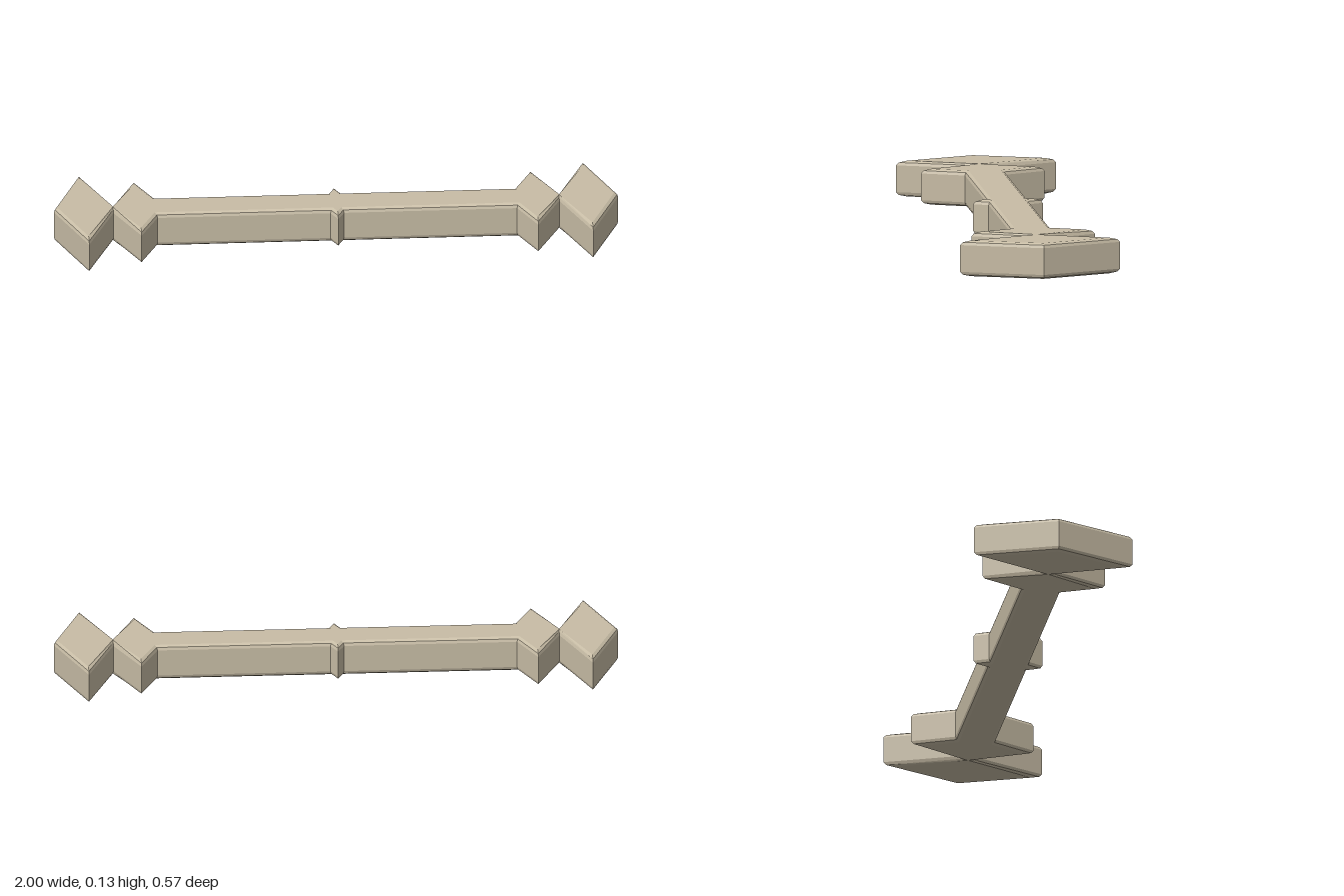
import * as THREE from 'three';

// One quarter of the plan outline (x, z): end point, large barb, neck, small barb, shaft, centre spur
const QUARTER = [
  [1, 0], [0.893, 0.285], [0.79, 0.02], [0.703, 0.22],
  [0.637, 0.072], [0.024, 0.072], [0, 0.124],
];

// Bevelled section: [inset, height]
const LEVELS = [
  [0.014, 0], [0.0035, 0.006], [0, 0.016],
  [0, 0.112], [0.0035, 0.122], [0.014, 0.128],
];

// Mirror the quarter into the full closed outline
function fullOutline() {
  const half = [
    ...QUARTER,
    ...QUARTER.slice(0, -1).reverse().map(([x, z]) => [-x, z]),
  ];
  const other = half.slice(1, -1).reverse().map(([x, z]) => [x, -z]);
  return [...half, ...other].map(([x, z]) => new THREE.Vector2(x, z));
}

// Mitred inset; the narrow necks never cross the centre line
function inset(points, d) {
  const n = points.length;
  const normal = (a, b) => {
    const e = b.clone().sub(a).normalize();
    return new THREE.Vector2(-e.y, e.x);
  };
  return points.map((p, i) => {
    const n1 = normal(points[(i + n - 1) % n], p);
    const n2 = normal(p, points[(i + 1) % n]);
    const q = n1.clone().add(n2).multiplyScalar(d / (1 + n1.dot(n2))).add(p);
    if (Math.abs(p.y) > 0.001) q.y = Math.sign(p.y) * Math.max(0.002, q.y * Math.sign(p.y));
    return q;
  });
}

function bevelledSolid(outline, levels) {
  const rings = levels.map(([d]) => inset(outline, d));
  const n = outline.length;
  const positions = [];
  const put = (level, i) => positions.push(rings[level][i].x, levels[level][1], rings[level][i].y);

  // Side walls and bevels
  for (let k = 0; k < levels.length - 1; k++) {
    for (let i = 0; i < n; i++) {
      const j = (i + 1) % n;
      put(k, i); put(k + 1, i); put(k + 1, j);
      put(k, i); put(k + 1, j); put(k, j);
    }
  }

  // Flat bottom and top
  const top = levels.length - 1;
  for (const [a, b, c] of THREE.ShapeUtils.triangulateShape(rings[0], [])) {
    put(0, a); put(0, b); put(0, c);
    put(top, a); put(top, c); put(top, b);
  }

  const geometry = new THREE.BufferGeometry();
  geometry.setAttribute('position', new THREE.Float32BufferAttribute(positions, 3));
  geometry.computeVertexNormals();
  return geometry;
}

export function createModel() {
  const group = new THREE.Group();
  group.name = 'doubleEndedBar';
  const material = new THREE.MeshStandardMaterial({ color: 0xc8bda6, flatShading: true });
  const bar = new THREE.Mesh(bevelledSolid(fullOutline(), LEVELS), material);
  bar.name = 'barbedBar';
  group.add(bar);
  return group;
}
